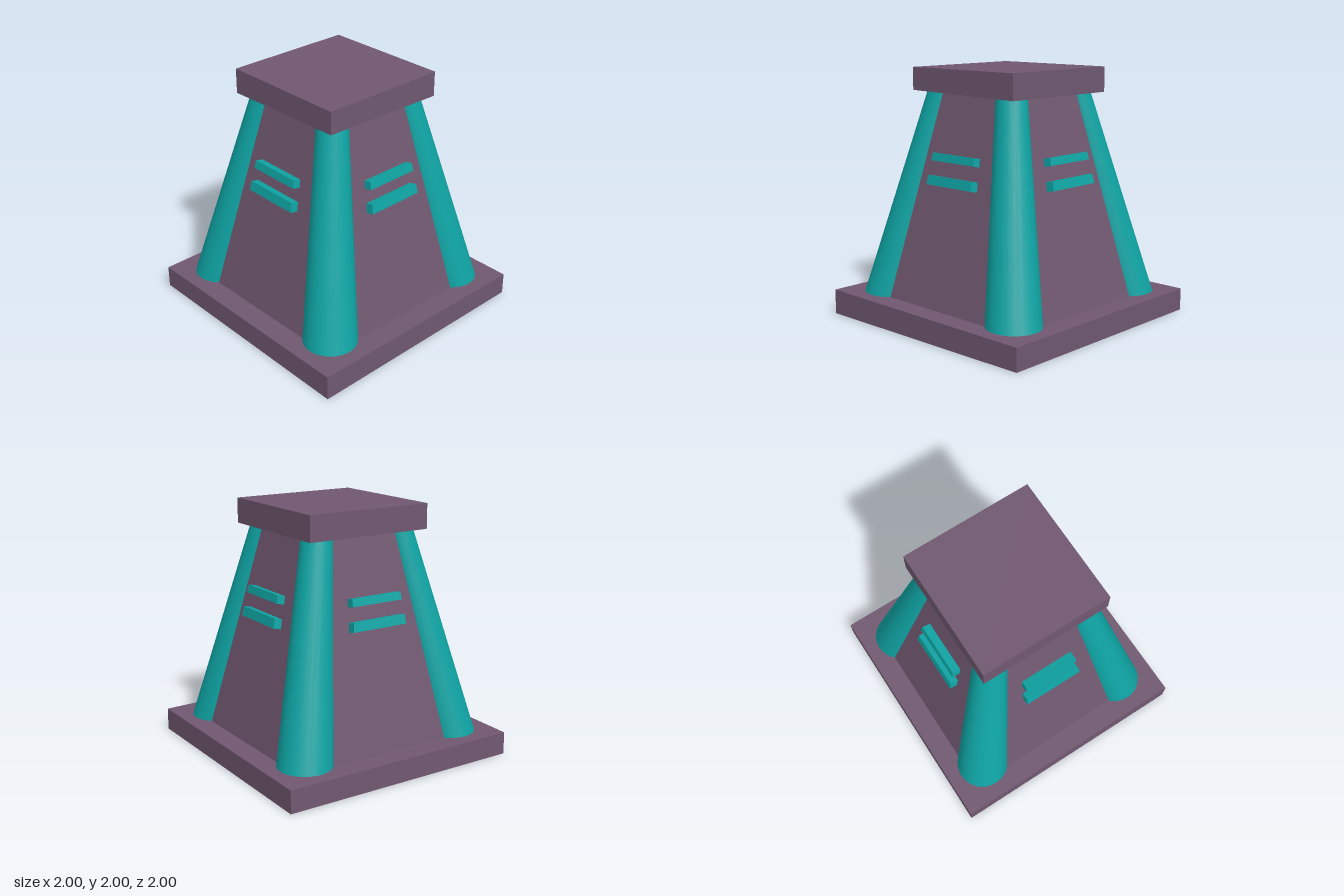
import * as THREE from 'three';

const stone = new THREE.MeshStandardMaterial({ color: 0x705870, flatShading: true });
const teal = new THREE.MeshStandardMaterial({ color: 0x0fa3a3, flatShading: true });
const tealSmooth = new THREE.MeshStandardMaterial({ color: 0x0fa3a3 });

const LOW = 0.18, HIGH = 1.81; // tower foot and shoulder heights
const BODY_LOW = 0.825, BODY_HIGH = 0.45; // half widths of the tower

function addMesh(parent, name, geometry, material) {
  const mesh = new THREE.Mesh(geometry, material);
  mesh.name = name;
  parent.add(mesh);
  return mesh;
}

// Square slab whose inner face sits slightly higher at the +x +z corner
function slab(half, y0, y1, raiseTop) {
  const g = new THREE.BoxGeometry(half * 2, y1 - y0, half * 2);
  g.translate(0, (y0 + y1) / 2, 0);
  const p = g.attributes.position;
  const mid = (y0 + y1) / 2;
  for (let i = 0; i < p.count; i++) {
    const onInnerFace = (p.getY(i) > mid) === raiseTop;
    if (onInnerFace && p.getX(i) > 0 && p.getZ(i) > 0) p.setY(i, p.getY(i) + 0.02);
  }
  g.computeVertexNormals();
  return g;
}

// Bar, a little wider along its lower edge
function barGeometry(bottomWidth, topWidth, height, depth) {
  const g = new THREE.BoxGeometry(1, height, depth);
  const p = g.attributes.position;
  for (let i = 0; i < p.count; i++) {
    p.setX(i, p.getX(i) * (p.getY(i) < 0 ? bottomWidth : topWidth));
  }
  g.translate(0, 0, -depth / 2); // origin on the outer face
  g.computeVertexNormals();
  return g;
}

export function createModel() {
  const model = new THREE.Group();
  model.name = 'tower';
  const height = HIGH - LOW;

  addMesh(model, 'base', slab(1, 0, LOW, true), stone);
  addMesh(model, 'cap', slab(0.533, 1.8, 2, false), stone);

  // Tapered square body
  const body = new THREE.CylinderGeometry(BODY_HIGH * Math.SQRT2, BODY_LOW * Math.SQRT2, height, 4);
  body.rotateY(Math.PI / 4);
  body.translate(0, LOW + height / 2, 0);
  addMesh(model, 'body', body, stone);

  // Corner columns: cones sheared inward so both ends stay level
  const footPos = 0.68, headPos = 0.37;
  const lean = (headPos - footPos) / height;
  for (const sx of [-1, 1]) {
    for (const sz of [-1, 1]) {
      const g = new THREE.CylinderGeometry(0.12, 0.213, height, 24);
      g.translate(0, height / 2, 0);
      g.applyMatrix4(new THREE.Matrix4().set(
        1, sx * lean, 0, sx * footPos,
        0, 1, 0, LOW,
        0, sz * lean, 1, sz * footPos,
        0, 0, 0, 1));
      addMesh(model, 'cornerColumn', g, tealSmooth);
    }
  }

  // Two sloping bars on each of the four sides
  const tilt = Math.atan((BODY_LOW - BODY_HIGH) / height);
  for (let i = 0; i < 4; i++) {
    const side = new THREE.Group();
    side.name = 'sideBars';
    side.rotation.y = i * Math.PI / 2;
    const upper = addMesh(side, 'upperBar', barGeometry(0.454, 0.44, 0.063, 0.08), teal);
    upper.position.set(0, 1.335, 0.627);
    const lower = addMesh(side, 'lowerBar', barGeometry(0.486, 0.47, 0.075, 0.085), teal);
    lower.position.set(0, 1.158, 0.667);
    upper.rotation.x = lower.rotation.x = -tilt;
    model.add(side);
  }
  return model;
}
